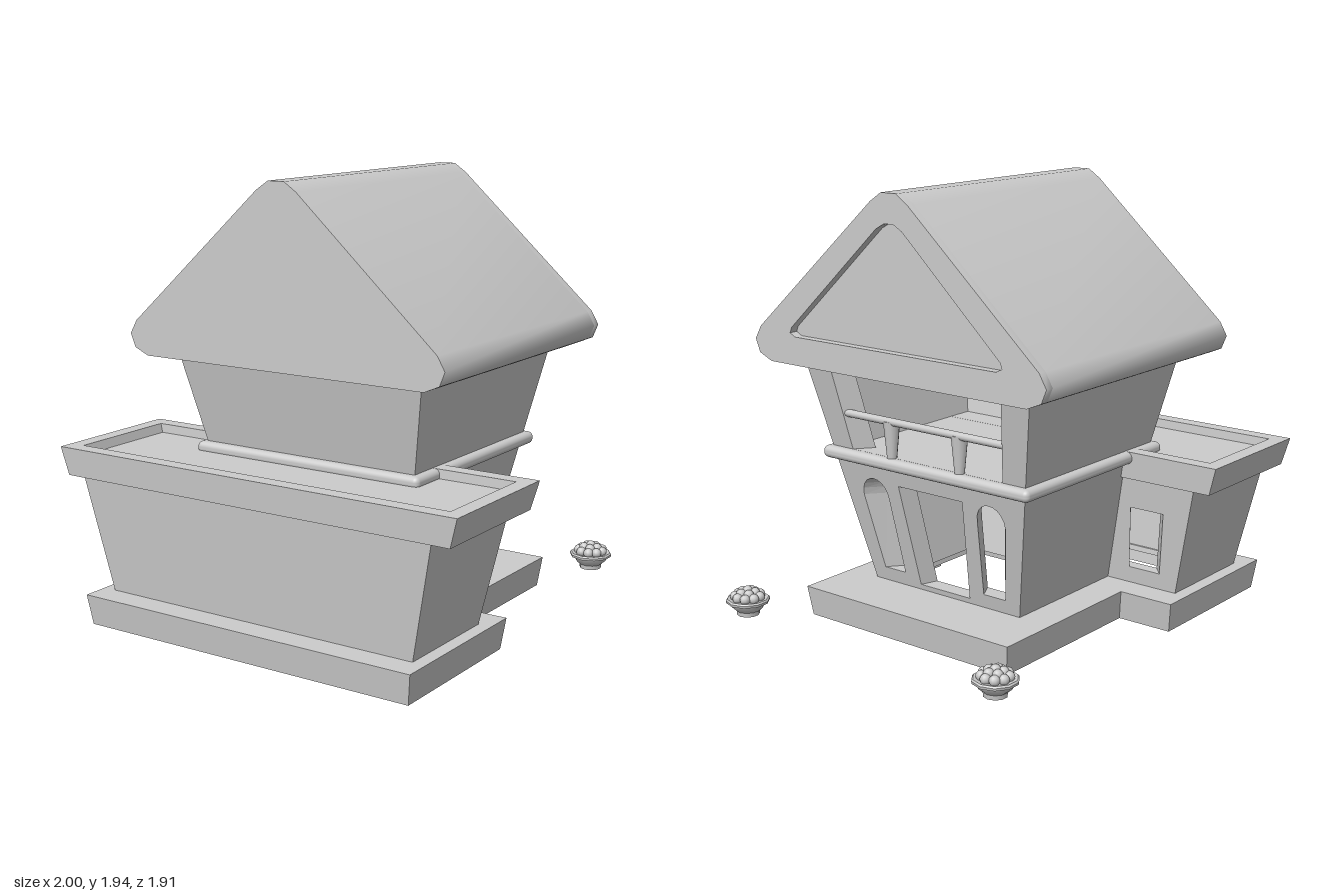
import * as THREE from 'three';
import { toCreasedNormals } from 'three/addons/utils/BufferGeometryUtils.js';
import { RoundedBoxGeometry } from 'three/addons/geometries/RoundedBoxGeometry.js';

const grey = new THREE.MeshStandardMaterial({ color: 0xcccccc, side: THREE.DoubleSide });

function add(parent, name, geometry, x = 0, y = 0, z = 0) {
  const mesh = new THREE.Mesh(geometry, grey);
  mesh.name = name;
  mesh.position.set(x, y, z);
  parent.add(mesh);
  return mesh;
}

const poly = (pts) => new THREE.Shape(pts.map(([x, y]) => new THREE.Vector2(x, y)));
const mirrored = (half) => [...half, ...half.slice().reverse().map(([x, y]) => [-x, y])];

// One leaning wall with mitred ends: width and distance change from bottom to top
function wallGeometry(w, d, y0, y1, t, holes) {
  const shape = poly([[-w[0], y0], [w[0], y0], [w[1], y1], [-w[1], y1]]);
  shape.holes.push(...holes);
  const geo = new THREE.ExtrudeGeometry(shape, { depth: t, bevelEnabled: false, curveSegments: 10 });
  const p = geo.attributes.position;
  for (let i = 0; i < p.count; i++) {
    const k = (p.getY(i) - y0) / (y1 - y0);
    const inset = t - p.getZ(i);
    const half = THREE.MathUtils.lerp(w[0], w[1], k);
    p.setX(i, p.getX(i) * (half - inset) / half);
    p.setZ(i, THREE.MathUtils.lerp(d[0], d[1], k) - inset);
  }
  geo.computeVertexNormals();
  return geo;
}

// Four leaning walls; hx and hz are half sizes [bottom, top]
function flaredWalls(parent, name, hx, hz, y0, y1, t, cz, backHoles = []) {
  const group = new THREE.Group();
  group.name = name;
  group.position.z = cz;
  ['Front', 'Right', 'Back', 'Left'].forEach((side, i) => {
    const [w, d] = i % 2 ? [hz, hx] : [hx, hz];
    add(group, name + side, wallGeometry(w, d, y0, y1, t, i === 2 ? backHoles : [])).rotation.y = i * Math.PI / 2;
  });
  parent.add(group);
}

// Arched window that leans outward with the wall
function archWindow(s) {
  const shape = new THREE.Shape();
  shape.moveTo(s * 0.225, 0.2);
  shape.lineTo(s * 0.345, 0.2);
  shape.lineTo(s * 0.4, 0.55);
  shape.bezierCurveTo(s * 0.4, 0.67, s * 0.25, 0.67, s * 0.25, 0.55);
  return shape;
}

// T-shaped outline of the plinth, drawn in x and -z
const tOutline = (o) => mirrored([
  [0.57 - o, 0.62 - o], [0.57 - o, -0.2 - o], [0.83 - o, -0.2 - o], [0.83 - o, -0.955 + o],
]);
const rect = (hx, z0, z1) => poly([[-hx, -z0], [hx, -z0], [hx, -z1], [-hx, -z1]]);

function plinthLayer(holes, y, height, taper) {
  const shape = poly(tOutline(0));
  shape.holes.push(...holes);
  const geo = new THREE.ExtrudeGeometry(shape, { depth: height, bevelEnabled: false });
  geo.rotateX(-Math.PI / 2).translate(0, y, 0);
  const p = geo.attributes.position;
  for (let i = 0; i < p.count; i++) {
    const k = taper * (1 - p.getY(i) / 0.135);
    p.setX(i, p.getX(i) - Math.sign(p.getX(i)) * k);
    p.setZ(i, p.getZ(i) + (p.getZ(i) > 0.6 ? -k : k));
  }
  geo.computeVertexNormals();
  return geo;
}

function bowl(parent, x) {
  const g = new THREE.Group();
  g.name = 'fruitBowl';
  g.position.set(x, 0, -0.86);
  const profile = [[0, 0.045], [0.05, 0.045], [0.052, 0.065], [0.07, 0.08], [0.08, 0.1], [0.096, 0.104],
    [0.098, 0.115], [0.092, 0.122], [0.078, 0.118], [0, 0.11]].map(([r, y]) => new THREE.Vector2(r, y));
  add(g, 'bowlDish', toCreasedNormals(new THREE.LatheGeometry(profile, 10), 0.7));
  const ball = new THREE.SphereGeometry(0.023, 10, 8);
  [[9, 0.056, 0.13], [5, 0.032, 0.144], [1, 0, 0.153]].forEach(([n, r, y]) => {
    for (let i = 0; i < n; i++) {
      const a = (i / n) * Math.PI * 2 + n;
      add(g, 'fruit', ball, r * Math.cos(a), y, r * Math.sin(a));
    }
  });
  parent.add(g);
}

export function createModel() {
  const model = new THREE.Group();
  model.name = 'house';

  // Hollow plinth: rim below, plate with openings under the rooms above
  add(model, 'plinthRim', plinthLayer([poly(tOutline(0.03))], 0, 0.11, 0.018));
  add(model, 'plinthPlate', plinthLayer([rect(0.34, -0.26, 0.26), rect(0.7, 0.4, 0.77)], 0.11, 0.025, 0.018));

  // Main tower with door, arched windows and balcony opening at the back
  const door = poly(mirrored([[0.14, 0.16], [0.18, 0.63]]));
  const balcony = poly(mirrored([[0.42, 0.765], [0.47, 1.12]]));
  flaredWalls(model, 'towerWall', [0.41, 0.62], [0.33, 0.545], 0.135, 1.16, 0.08, 0,
    [door, archWindow(1), archWindow(-1), balcony]);

  // Rounded belt that also carries the upper floor
  add(model, 'beltAndFloor', new RoundedBoxGeometry(1.15, 0.055, 1.0, 3, 0.024), 0, 0.737, 0);

  // Balcony railing
  const rail = new THREE.CylinderGeometry(0.017, 0.017, 0.93, 10).rotateZ(Math.PI / 2);
  add(model, 'balconyRail', rail, 0, 0.93, -0.475);
  for (const s of [-1, 1]) {
    add(model, 'baluster', new THREE.CylinderGeometry(0.038, 0.022, 0.17, 10), s * 0.19, 0.845, -0.46);
  }

  // Front wing with a window on each side of the tower
  const sideWindow = (s) => poly([[s * 0.53, 0.21], [s * 0.69, 0.21], [s * 0.72, 0.5], [s * 0.55, 0.5]]);
  flaredWalls(model, 'wingWall', [0.77, 0.88], [0.255, 0.305], 0.135, 0.645, 0.06, 0.585,
    [sideWindow(1), sideWindow(-1)]);
  flaredWalls(model, 'parapet', [0.965, 1], [0.315, 0.325], 0.64, 0.765, 0.07, 0.58);
  add(model, 'wingRoof', new THREE.BoxGeometry(1.84, 0.08, 0.52), 0, 0.685, 0.58);

  // Roof: rounded gable prism, with a recessed triangle on the back gable
  const profile = mirrored([[0.7, 1.16], [0.77, 1.19], [0.795, 1.25], [0.76, 1.31], [0.1, 1.9], [0.04, 1.94]]);
  const roofPart = (name, z, depth, hole) => {
    const shape = poly(profile);
    if (hole) shape.holes.push(hole);
    const geo = new THREE.ExtrudeGeometry(shape, { depth, bevelEnabled: false });
    add(model, name, toCreasedNormals(geo, 0.95), 0, 0, z);
  };
  roofPart('roof', -0.63, 1.29);
  roofPart('gableFrame', -0.67, 0.04,
    poly(mirrored([[0.55, 1.285], [0.58, 1.3], [0.57, 1.325], [0.07, 1.79], [0.025, 1.815]])));

  // Fruit bowls behind the house
  bowl(model, 0.7);
  bowl(model, -0.7);
  return model;
}
